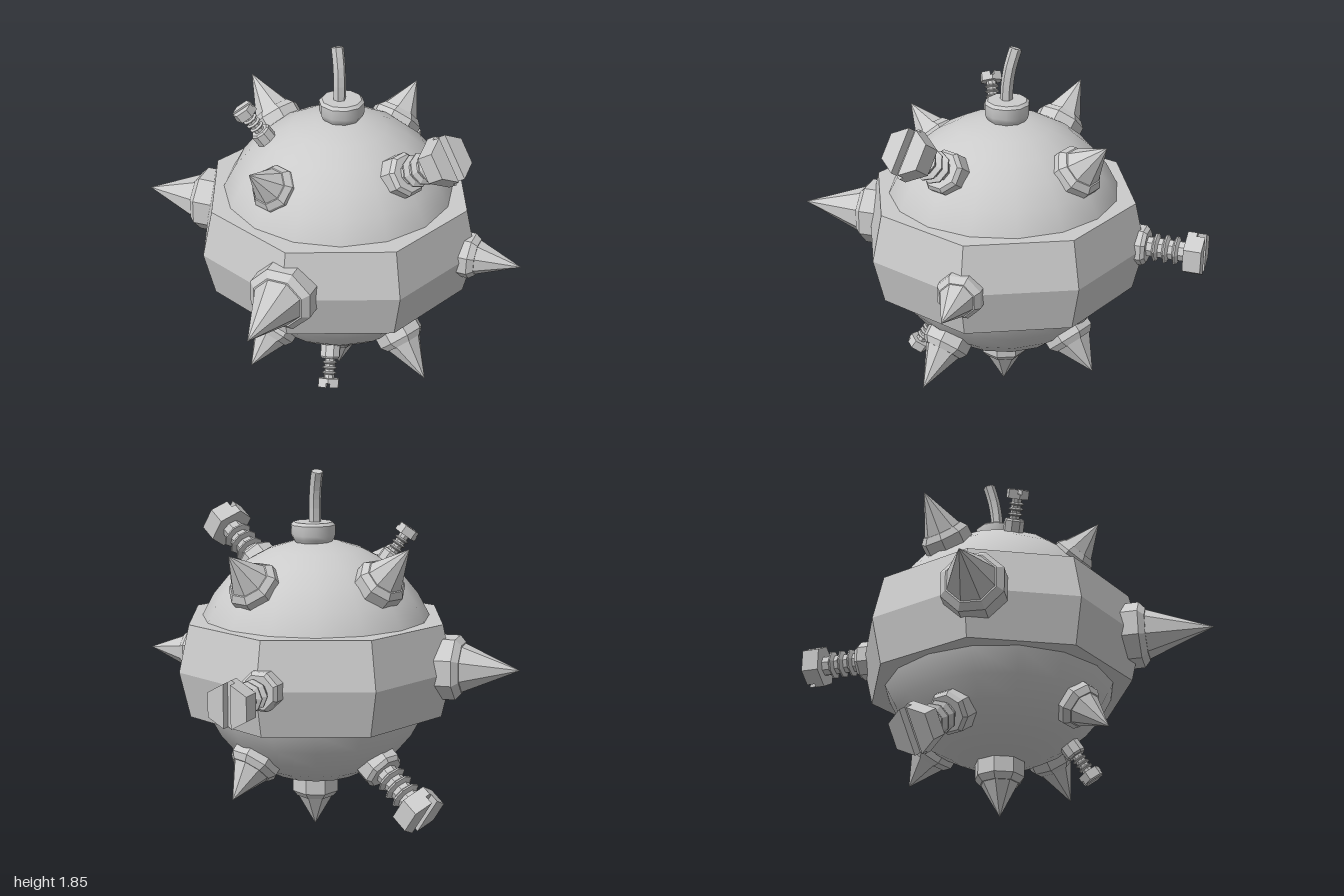
import * as THREE from 'three';
import { toCreasedNormals } from 'three/addons/utils/BufferGeometryUtils.js';

const flat = new THREE.MeshStandardMaterial({ color: 0xcccccc, flatShading: true });
const smooth = new THREE.MeshStandardMaterial({ color: 0xcccccc });
const CENTER = new THREE.Vector3(0.01, 0.885, 0.02);

const lathe = (points, sides, start = 0) =>
  new THREE.LatheGeometry(points.map(([r, y]) => new THREE.Vector2(r, y)), sides, start);

function add(parent, name, geometry, material = flat) {
  const mesh = new THREE.Mesh(geometry, material);
  mesh.name = name;
  parent.add(mesh);
  return mesh;
}

// Turns an object's local y axis along dir, keeping its local x axis level
function aim(object, origin, dir) {
  const side = new THREE.Vector3().crossVectors(dir, new THREE.Vector3(0, 1, 0));
  if (side.length() < 0.1) side.set(1, 0, 0);
  side.addScaledVector(dir, -side.dot(dir)).normalize();
  const third = new THREE.Vector3().crossVectors(side, dir);
  object.quaternion.setFromRotationMatrix(new THREE.Matrix4().makeBasis(side, dir, third));
  object.position.copy(origin);
}

// Octagonal socket with a chamfered rim and a cone, pointing away from the centre
function addSpike(parent, tip, radius, rim) {
  const dir = new THREE.Vector3(...tip).sub(CENTER);
  const length = dir.length();
  const profile = [[radius, 0.5], [radius, rim - 0.03], [radius * 0.8, rim], [radius * 0.75, rim], [0, length]];
  aim(add(parent, 'spike', lathe(profile, 8, Math.PI / 8)), CENTER, dir.normalize());
}

// Slotted hexagonal screw with thread ridges and a nut; origin at the outer face
function addScrew(parent, end, direction, scale) {
  const screw = new THREE.Group();
  screw.name = 'screw';
  const R = 0.122, gap = 0.02, slotDepth = 0.045;
  const head = new THREE.CylinderGeometry(R, R, 0.05, 6);
  head.translate(0, -0.07, 0);
  add(screw, 'screwHead', head);

  // two halves of the head on either side of the slot
  const zIn = R - gap * Math.tan(Math.PI / 6), flatX = R * Math.cos(Math.PI / 6);
  const half = new THREE.Shape([[gap, -zIn], [flatX, -R / 2], [flatX, R / 2], [gap, zIn]]
    .map(([x, y]) => new THREE.Vector2(x, y)));
  for (const turn of [0, Math.PI]) {
    const g = new THREE.ExtrudeGeometry(half, { depth: slotDepth, bevelEnabled: false });
    g.rotateX(-Math.PI / 2).translate(0, -slotDepth, 0).rotateY(turn);
    add(screw, 'screwHeadHalf', g);
  }

  // shaft profile with raised thread ridges
  const shaft = [[0.055, -0.5]];
  for (const y of [-0.26, -0.205, -0.15]) {
    shaft.push([0.055, y - 0.016], [0.08, y - 0.004], [0.08, y + 0.004], [0.055, y + 0.016]);
  }
  shaft.push([0.055, -0.08]);
  add(screw, 'screwShaft', lathe(shaft, 8));

  add(screw, 'screwNut', lathe([[0.108, -0.45], [0.108, -0.325], [0.092, -0.305], [0, -0.305]], 8, Math.PI / 8));
  aim(screw, new THREE.Vector3(...end), new THREE.Vector3(...direction).normalize());
  screw.scale.setScalar(scale);
  parent.add(screw);
}

export function createModel() {
  const model = new THREE.Group();
  model.name = 'spikedBall';

  // round body
  add(model, 'body', new THREE.SphereGeometry(0.62, 16, 16), smooth).position.copy(CENTER);

  // octagonal belt, widest at its middle
  const k = 1 / Math.cos(Math.PI / 8);
  const belt = [[0.5, -0.23], [0.62, -0.23], [0.67, 0], [0.62, 0.235], [0.5, 0.235]].map(([r, y]) => [r * k, y]);
  add(model, 'belt', lathe(belt, 8, Math.PI / 8)).position.copy(CENTER);

  // fuse cap and bent fuse
  const cap = lathe([[0.075, 1.47], [0.105, 1.51], [0.112, 1.53], [0.112, 1.58], [0.098, 1.594], [0, 1.594]], 10);
  add(model, 'fuseCap', toCreasedNormals(cap, 0.7), smooth).position.set(0.03, 0, 0.02);
  const fusePath = new THREE.CatmullRomCurve3([
    [0.02, 1.57, 0.015], [0.024, 1.67, 0.012], [0.033, 1.76, 0], [0.046, 1.845, -0.025],
  ].map((p) => new THREE.Vector3(...p)));
  add(model, 'fuse', new THREE.TubeGeometry(fusePath, 6, 0.031, 6), flat);
  const fuseEnd = add(model, 'fuseEnd', new THREE.CylinderGeometry(0.03, 0.03, 0.004, 6));
  aim(fuseEnd, fusePath.getPoint(1), fusePath.getTangent(1));

  // spikes: tip, socket radius, distance of the socket rim from the centre
  const spikes = [
    [[-1.0, 0.9, 0.43], 0.165, 0.76], // belt, right
    [[-0.445, 0.91, -0.925], 0.163, 0.77], // belt, back
    [[0.366, 0.87, 0.915], 0.115, 0.745], // belt, front
    [[0.61, 1.485, 0.0], 0.133, 0.665], // upper left
    [[-0.597, 1.43, 0.03], 0.115, 0.65], // upper right
    [[0.02, 1.52, -0.61], 0.128, 0.685], // upper back
    [[-0.62, 0.33, 0.02], 0.118, 0.665], // lower right
    [[0.585, 0.27, 0.025], 0.133, 0.665], // lower left
    [[-0.005, 0.243, 0.644], 0.123, 0.685], // lower front
    [[0.012, 0.005, 0.025], 0.125, 0.715], // bottom
  ];
  for (const spike of spikes) addSpike(model, ...spike);

  // screws: centre of the outer face, direction, scale
  const screws = [
    [[0.005, 1.552, 0.737], [0, 0.58, 0.815], 1],
    [[-0.015, 0.213, -0.7], [0, -0.55, -0.835], 1],
    [[0.955, 0.89, -0.37], [0.946, 0, -0.324], 0.93],
    [[-0.335, 1.56, -0.3], [-0.4, 0.78, -0.36], 0.48],
    [[-0.355, 0.2, 0.305], [-0.4, -0.78, 0.32], 0.48],
  ];
  for (const screw of screws) addScrew(model, ...screw);

  return model;
}
